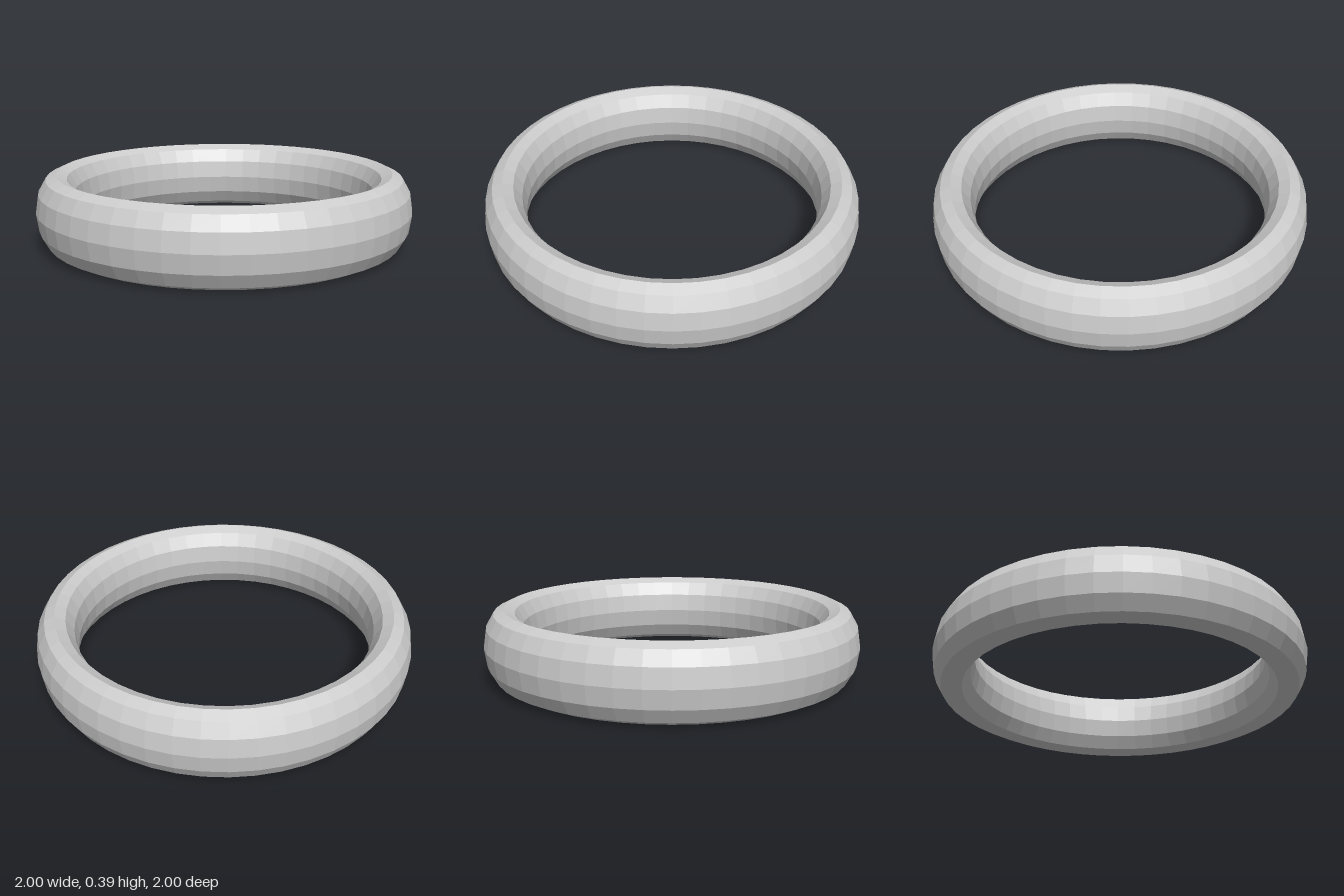
import * as THREE from 'three';

const OUTER = 1;            // outer radius of the ring
const HALF_WIDTH = 0.11;    // half thickness of the band
const HALF_HEIGHT = 0.193;  // half height of the band

export function createModel() {
  const group = new THREE.Group();
  group.name = 'ring';

  // Band: a faceted torus laid flat, with its section stretched into a tall ellipse
  const geometry = new THREE.TorusGeometry(OUTER - HALF_WIDTH, HALF_WIDTH, 12, 48);
  geometry.rotateX(-Math.PI / 2);
  geometry.scale(1, HALF_HEIGHT / HALF_WIDTH, 1);
  geometry.translate(0, HALF_HEIGHT, 0);

  const material = new THREE.MeshStandardMaterial({ color: 0xcccccc, flatShading: true });
  const band = new THREE.Mesh(geometry, material);
  band.name = 'band';
  group.add(band);
  return group;
}
